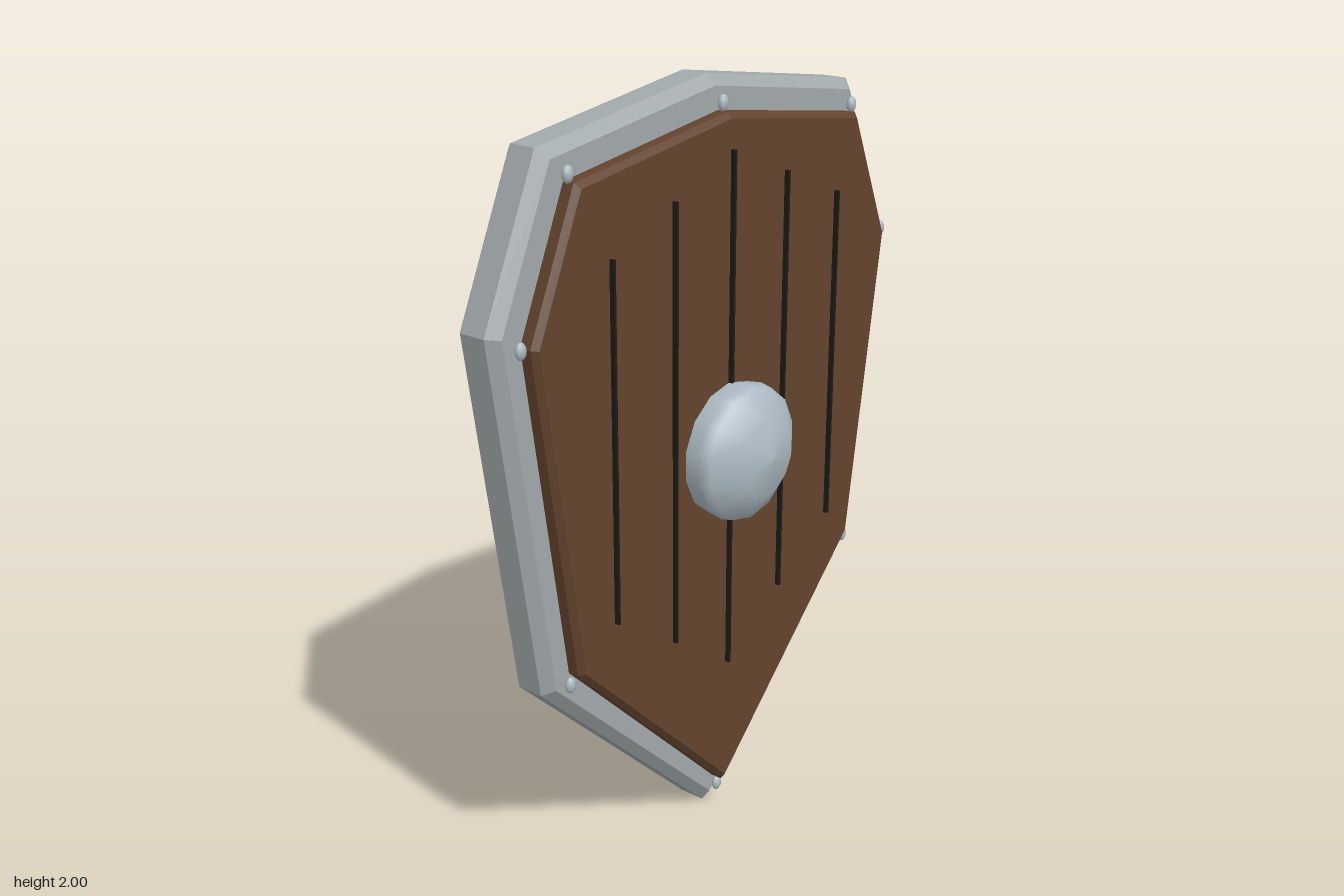
import * as THREE from 'three';

const mat = (color, flatShading = false) => new THREE.MeshStandardMaterial({ color, flatShading });
const steel = mat(0xa2a9ab, true), wood = mat(0x62432d, true);
const bossSteel = mat(0xacbac3), dark = mat(0x1e1a17), leather = mat(0x56342c);

// Right half of an outline, top to bottom, mirrored into a closed loop
const mirror = (half) => [...half, ...half.slice(1, -1).reverse().map(([x, y]) => [-x, y])];

// Bevelled plate between two depths; the outline stays the outermost edge
function plate(half, z0, z1, bevel, material) {
  const shape = new THREE.Shape(mirror(half).map(([x, y]) => new THREE.Vector2(x, y)));
  const geo = new THREE.ExtrudeGeometry(shape, {
    depth: z1 - z0 - 2 * bevel, bevelEnabled: true, bevelSegments: 1,
    bevelThickness: bevel, bevelSize: bevel, bevelOffset: -bevel,
  });
  geo.translate(0, 0, z0 + bevel);
  return new THREE.Mesh(geo, material);
}

// Eight-sided smooth tube with mitred joints along a path of [y, z] points
function strapGeometry(path, radii, sides = 8) {
  const pts = path.map(([y, z]) => new THREE.Vector2(y, z));
  const pos = [], idx = [];
  const end = pts.length - 1;
  pts.forEach((p, i) => {
    const before = pts[i ? i : 1].clone().sub(pts[i ? i - 1 : 0]).normalize();
    const after = i < end ? pts[i + 1].clone().sub(p).normalize() : before;
    const t = before.clone().add(after).normalize();
    const stretch = 1 / t.dot(before);
    for (let k = 0; k < sides; k++) {
      const ang = (k / sides) * Math.PI * 2;
      const v = Math.sin(ang) * radii[i] * stretch;
      pos.push(Math.cos(ang) * radii[i], p.x + t.y * v, p.y - t.x * v);
      if (i < end) {
        const q = i * sides + k, r = i * sides + ((k + 1) % sides);
        idx.push(q, r, q + sides, r, r + sides, q + sides);
      }
    }
  });
  // end caps
  const last = end * sides;
  for (let k = 1; k < sides - 1; k++) {
    idx.push(0, k + 1, k, last, last + k, last + k + 1);
  }
  const geo = new THREE.BufferGeometry();
  geo.setAttribute('position', new THREE.Float32BufferAttribute(pos, 3));
  geo.setIndex(idx);
  geo.computeVertexNormals();
  return geo;
}

export function createModel() {
  const shield = new THREE.Group();
  shield.name = 'shield';
  const add = (name, mesh, parent = shield) => {
    mesh.name = name;
    parent.add(mesh);
    return mesh;
  };

  // Metal body and wooden front panel
  add('metalBody', plate([[0, 2], [0.581, 1.915], [0.753, 1.53], [0.617, 0.6], [0, 0]],
    -0.012, 0.115, 0.027, steel));
  add('woodPanel', plate([[0, 1.917], [0.532, 1.84], [0.68, 1.5], [0.556, 0.65], [0, 0.093]],
    0.11, 0.168, 0.014, wood));

  // Plank seams
  const seams = add('plankSeams', new THREE.Group());
  for (const [x, y0, y1] of [[0, 0.465, 1.83], [0.216, 0.61, 1.745], [0.434, 0.75, 1.655]]) {
    for (const side of x ? [-1, 1] : [1]) {
      const bar = add('seam', new THREE.Mesh(new THREE.BoxGeometry(0.007, y1 - y0, 0.02), dark), seams);
      bar.position.set(side * x, (y0 + y1) / 2, 0.171);
    }
  }

  // Domed boss
  const profile = [[0.172, 0.16], [0.179, 0.21], [0.172, 0.243], [0.1, 0.292], [0, 0.31]];
  const bossGeo = new THREE.LatheGeometry(profile.map(([r, h]) => new THREE.Vector2(r, h)), 14);
  const boss = add('boss', new THREE.Mesh(bossGeo, bossSteel));
  boss.rotation.x = Math.PI / 2;
  boss.position.y = 1.075;

  // Rivets around the rim
  const rivets = add('rivets', new THREE.Group());
  const rivetGeo = new THREE.SphereGeometry(1, 8, 6);
  for (const [x, y] of mirror([[0, 1.936], [0.535, 1.858], [0.695, 1.5], [0.568, 0.628], [0, 0.075]])) {
    const rivet = add('rivet', new THREE.Mesh(rivetGeo, bossSteel), rivets);
    rivet.position.set(x, y, 0.14);
    rivet.scale.set(0.016, 0.021, 0.011);
  }

  // Rear straps and the grip joining them
  const handle = add('handle', new THREE.Group());
  const strapGeo = strapGeometry(
    [[1.333, -0.037], [1.24, -0.264], [0.843, -0.264], [0.757, -0.037]], [0.047, 0.044, 0.044, 0.047]);
  for (const x of [-0.19, 0.19]) {
    add('strap', new THREE.Mesh(strapGeo, leather), handle).position.x = x;
  }
  const grip = add('grip', new THREE.Mesh(new THREE.CylinderGeometry(0.044, 0.044, 0.38, 8), leather), handle);
  grip.rotation.z = Math.PI / 2;
  grip.position.set(0, 1.045, -0.264);

  return shield;
}
